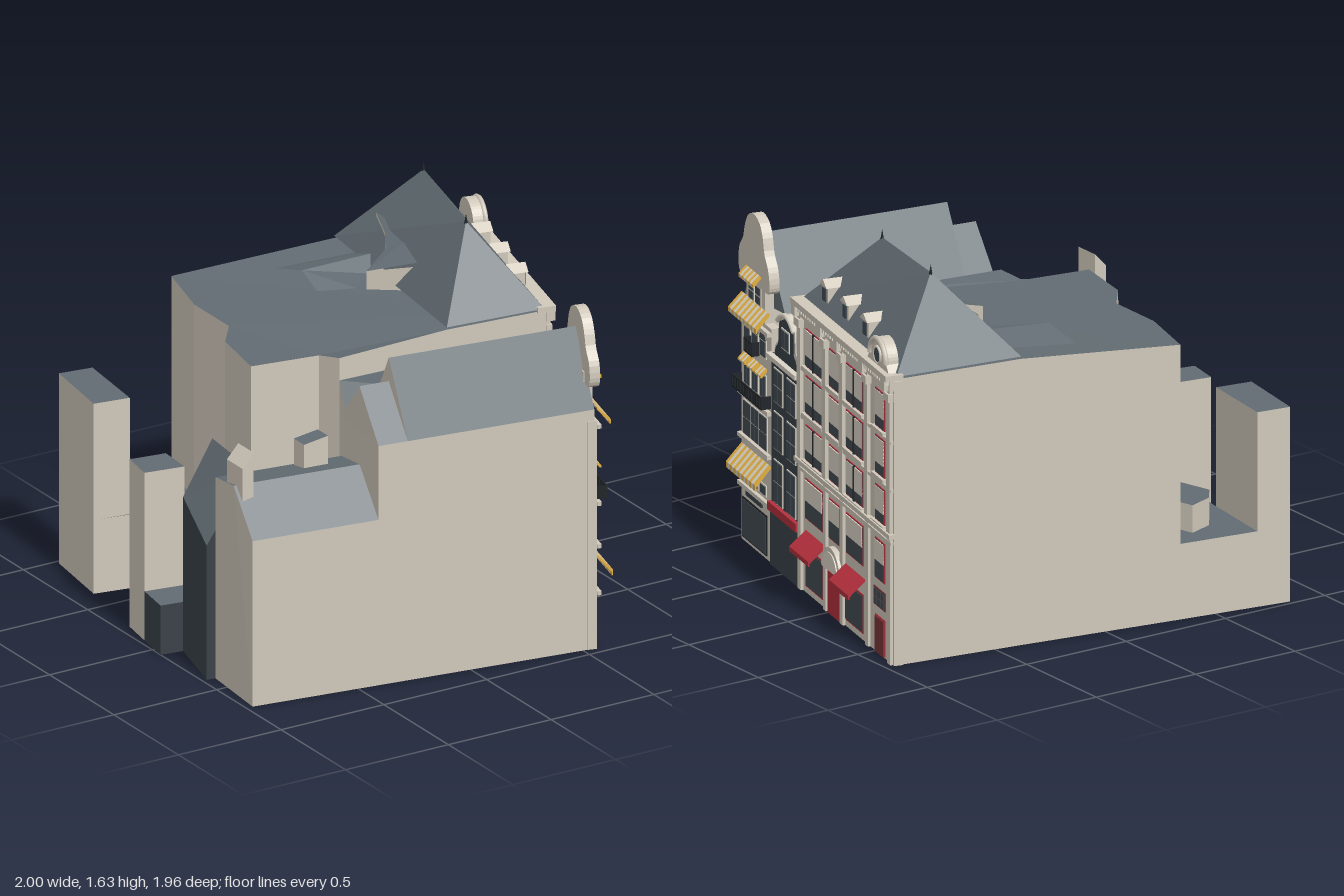
import * as THREE from 'three';

const mat = (name, color, side = THREE.FrontSide) => {
  const m = new THREE.MeshStandardMaterial({ color, side });
  m.name = name;
  return m;
};

export function createModel() {
  const D = THREE.DoubleSide;
  const cream = mat('cream stone', 0xd0c8ba, D), slate = mat('slate', 0x626c72, D);
  const dark = mat('charcoal brick', 0x3a4148, D), glass = mat('glass', 0x414b52);
  const red = mat('red', 0xb5303c), yellow = mat('yellow', 0xe3b042), white = mat('pale trim', 0xdad4c7);
  const doorRed = mat('dark red', 0x79363a), black = mat('black iron', 0x202428);

  const model = new THREE.Group();
  model.name = 'streetBlock';
  const facade = new THREE.Group();
  facade.name = 'streetFront';
  // the street front is turned; its local x runs along the street, z points outwards
  facade.position.set(0.791, 0, 0);
  facade.rotation.y = 1.3346;
  facade.scale.x = 1.029;
  model.add(facade);

  const add = (parent, name, geo, m) => {
    const mesh = new THREE.Mesh(geo, m);
    mesh.name = name;
    parent.add(mesh);
    return mesh;
  };
  // flat polygons given by 3D corners
  const faces = (name, m, polys) => {
    const v = [];
    for (const p of polys)
      for (let i = 1; i < p.length - 1; i++) v.push(...p[0], ...p[i], ...p[i + 1]);
    const g = new THREE.BufferGeometry();
    g.setAttribute('position', new THREE.Float32BufferAttribute(v, 3));
    g.computeVertexNormals();
    return add(model, name, g, m);
  };
  // upright wall from height y0 up to a line of 3D points
  const wallUnder = (name, top, y0, m = cream) =>
    faces(name, m, top.slice(1).map((b, i) => [[top[i][0], y0, top[i][2]], [b[0], y0, b[2]], b, top[i]]));
  // bottomless block from a plan outline [x, z], with one roof height or one per corner
  const block = (name, pts, h, { skip = [], wall = cream, roof = slate, y0 = 0 } = {}) => {
    const top = pts.map(([x, z], i) => [x, Array.isArray(h) ? h[i] : h, z]);
    top.forEach((a, i) => {
      if (!skip.includes(i)) wallUnder(name + 'Wall', [a, top[(i + 1) % top.length]], y0, wall);
    });
    const tris = THREE.ShapeUtils.triangulateShape(pts.map(([x, z]) => new THREE.Vector2(x, z)), []);
    // corners ordered so that the cap looks upwards
    faces(name + 'Roof', roof, tris.map(([a, b, c]) => [top[c], top[b], top[a]]));
  };

  // ---- large corner house and its rear wings
  block('mainHouse', [[0.94, -0.705], [0.38, -0.79], [-0.34, -0.905], [-0.42, -0.6], [-0.42, -0.33], [-0.52, -0.2],
    [-0.57, 0.08], [-0.27, 0.13], [-0.24, 0.24], [0.27, 0.26], [0.70, 0.32]],
    [1.25, 1.25, 1.2, 1.2, 1.2, 1.2, 1.2, 1.2, 1.22, 1.24, 1.25], { skip: [6, 7, 8, 9, 10] });
  wallUnder('mainCourtWall', [[-0.57, 1.2, 0.08], [-0.27, 1.2, 0.13], [-0.24, 1.22, 0.24]], 0.3);
  wallUnder('mainSouthWall', [[-0.24, 1.22, 0.24], [0.27, 1.24, 0.26], [0.70, 1.25, 0.32]], 1.08);
  const R1 = [0.64, 1.6, -0.51], R2 = [0.52, 1.58, 0.01], E1 = [0.95, 1.26, -0.705], E2 = [0.705, 1.26, 0.325];
  const W1 = [0.38, 1.26, -0.79], W2 = [0.27, 1.25, 0.26];
  faces('mainHipRoof', slate, [[E2, E1, R1, R2], [E1, W1, R1], [W1, W2, R2, R1], [W2, E2, R2]]);
  for (const r of [R1, R2]) {
    const f = add(model, 'ridgeFinial', new THREE.ConeGeometry(0.008, 0.045, 6), black);
    f.position.set(r[0], r[1] + 0.012, r[2]);
  }
  // low rear gable, set before a raised edge of the hip roof
  const d1 = [0.06, 1.27, -0.53], d2 = [0.4, 1.29, -0.49];
  faces('rearGableRoof', slate, [[[0.04, 1.22, -0.71], d1, d2, [0.47, 1.25, -0.61]], [d1, [0.06, 1.21, -0.39], [0.23, 1.22, -0.3], [0.37, 1.23, -0.4], d2]]);
  const edge = [[0.47, 1.41, -0.61], [0.42, 1.385, -0.46], [0.36, 1.36, -0.36], [0.23, 1.31, -0.3]];
  wallUnder('raisedRoofWall', [...edge, [0.41, 1.35, -0.14]], 1.21);
  faces('raisedRoof', slate, [[...edge, [0.41, 1.37, -0.14], [0.47, 1.41, -0.32]].reverse()]);

  block('court', [[-0.34, -0.905], [-0.84, -0.98], [-0.89, -0.63], [-0.73, -0.6], [-0.79, -0.23], [-0.52, -0.2], [-0.42, -0.33], [-0.42, -0.6]],
    0.33, { skip: [4, 5, 6, 7] });
  block('courtShed', [[-0.57, -0.78], [-0.46, -0.82], [-0.42, -0.68], [-0.57, -0.5], [-0.63, -0.7]], 0.45, { y0: 0.33 });
  block('rearTower', [[-0.69, -0.958], [-0.84, -0.98], [-0.89, -0.63], [-0.73, -0.605]], 0.85);
  block('rearAnnex', [[-0.79, -0.23], [-0.95, -0.255], [-0.975, -0.1], [-0.8, -0.07]], 0.75);
  block('lowAnnex', [[-0.975, -0.1], [-1, 0.064], [-0.9, 0.08], [-0.77, 0.1], [-0.55, 0.13], [-0.57, 0.08], [-0.8, -0.07]], 0.22, { wall: dark, skip: [3, 4, 5] });
  block('middleAnnex', [[-0.79, -0.23], [-0.8, -0.07], [-0.57, 0.08], [-0.52, -0.2]], 0.45, { skip: [2, 3] });

  // ---- dark rear house with a steep roof towards the inner court
  block('rearHouseWest', [[-0.9, 0.08], [-0.77, 0.1], [-0.79, 0.42], [-0.98, 0.39]], [0.69, 0.93, 0.91, 0.6], { wall: dark, skip: [1] });
  block('rearHouseEast', [[-0.77, 0.1], [-0.27, 0.13], [-0.24, 0.25], [-0.3, 0.51], [-0.79, 0.44]], [0.93, 0.4, 0.4, 0.4, 0.91], { wall: dark, skip: [1, 2, 3, 4] });

  // ---- long gabled house on the south side, in three steps
  const zs = x => 0.96 + 0.15 * (x - 0.56);
  const gableRun = (name, x0, x1, eave, ridge, back) => {
    const sec = x => [[x, 0, zs(x)], [x, eave, zs(x)], [x + 0.008, ridge, zs(x) - 0.16], [x + 0.03, back, zs(x) - 0.335], [x + 0.03, 0.4, zs(x) - 0.335]];
    const a = sec(x0), b = sec(x1), strip = i => [a[i], b[i], b[i + 1], a[i + 1]];
    faces(name + 'Walls', cream, [strip(0), strip(3)]);
    faces(name + 'Roof', slate, [strip(1), strip(2)]);
    return [a, b];
  };
  const [f0, f1] = gableRun('southHouseFront', -0.28, 0.55, 1.07, 1.385, 1.08);
  const [m0] = gableRun('southHouseMiddle', -0.41, -0.28, 1.07, 1.28, 1.08);
  const [r0] = gableRun('southHouseRear', -0.97, -0.41, 0.74, 0.93, 0.9);
  faces('southHouseStreetGable', slate, [f1.slice(1, 4)]);
  faces('southHouseRearGables', cream, [f0.slice(1, 4), m0.slice(1, 4),
    [[-0.41, 0.74, zs(-0.41)], m0[1], m0[3], [m0[3][0], 0.74, m0[3][2]]], [...r0.slice(0, 4), [r0[4][0], 0, r0[4][2]]]]);
  block('rearChimney', [[-0.95, 0.5], [-0.95, 0.62], [-0.895, 0.62], [-0.895, 0.5]], [1.02, 1.02, 1.08, 1.08], { y0: 0.86, roof: cream });
  block('innerChimney', [[-0.6, 0.46], [-0.6, 0.54], [-0.49, 0.55], [-0.49, 0.47]], [1.02, 1.02, 1.04, 1.04], { y0: 0.86, roof: slate });

  // ---- narrow dark house between them
  const n1 = [-0.3, 0.8, 0.5], n2 = [0.62, 0.8, 0.64], n3 = [0.6, 1.12, 0.47], n4 = [-0.12, 1.12, 0.36], n5 = [-0.24, 1.12, 0.24];
  faces('narrowHouseRoof', slate, [[n1, n2, n3, n4], [n1, n4, n5], [n4, n3, [0.69, 1.12, 0.33], [0.27, 1.12, 0.25], n5]]);
  wallUnder('narrowHouseRearWall', [n1, n5], 0.38);

  // ---- street front helpers
  const box = (name, m, u0, u1, y0, y1, z0, z1) =>
    add(facade, name, new THREE.BoxGeometry(u1 - u0, y1 - y0, z1 - z0), m).position.set((u0 + u1) / 2, (y0 + y1) / 2, (z0 + z1) / 2);
  const outline = (name, m, pts, z, depth, curved) => {
    const v = pts.map(p => new THREE.Vector2(...p));
    const s = new THREE.Shape(curved ? new THREE.SplineCurve(v).getPoints(40) : v);
    const g = new THREE.ExtrudeGeometry(s, { depth, bevelEnabled: false });
    return add(facade, name, g.translate(0, 0, z), m);
  };
  // framed pane with optional bars and a blind covering its upper part
  const pane = (name, u0, u1, y0, y1, frame, { cols = 1, rows = 1, blind = 0, t = 0.007 } = {}) => {
    box(name + 'Frame', frame, u0, u1, y0, y1, 0, 0.004);
    const w = (u1 - u0 - t) / cols, h = (y1 - y0 - t) / rows;
    for (let i = 0; i < cols; i++) for (let j = 0; j < rows; j++)
      box(name + 'Glass', glass, u0 + t + i * w, u0 + (i + 1) * w, y0 + t + j * h, y0 + (j + 1) * h, 0, 0.007);
    if (blind) box(name + 'Blind', white, u0 + t, u1 - t, y1 - t - blind * (y1 - y0), y1 - t, 0, 0.009);
  };
  const awning = (name, u0, u1, y0, y1, depth, mats, n) => {
    const w = (u1 - u0) / n, drop = (y1 - y0) * 0.25;
    for (let i = 0; i < n; i++) {
      const s = new THREE.Shape([[0, y1], [0, y1 - 0.01], [depth - 0.006, y0 + drop - 0.01], [depth - 0.006, y0], [depth, y0], [depth, y0 + drop]]
        .map(p => new THREE.Vector2(...p)));
      const g = new THREE.ExtrudeGeometry(s, { depth: w, bevelEnabled: false }).rotateY(-Math.PI / 2);
      add(facade, name, g.translate(u0 + (i + 1) * w, 0, 0), mats[i % mats.length]);
    }
  };
  const balcony = (u0, u1, y0, y1, depth) => {
    box('balconyFloor', black, u0, u1, y0, y0 + 0.008, 0, depth);
    box('balconyRail', black, u0, u1, y1 - 0.006, y1, depth - 0.006, depth);
    const n = Math.round((u1 - u0) / 0.018);
    for (let i = 0; i <= n; i++) {
      const u = u0 + (u1 - u0 - 0.007) * i / n;
      box('baluster', black, u, u + 0.007, y0, y1, depth - 0.006, depth);
    }
    for (const u of [u0, u1 - 0.006]) box('balconySideRail', black, u, u + 0.006, y0, y1, 0, depth);
  };

  // ---- cream gabled front
  box('gabledFrontWall', cream, -0.965, -0.64, 0, 1.02, -0.04, 0);
  box('gabledFrontNeck', cream, -0.91, -0.71, 1.02, 1.22, -0.04, 0);
  outline('bellGable', cream, [[-0.91, 1.17], [-0.955, 1.17], [-0.975, 1.21], [-0.965, 1.28], [-0.925, 1.33], [-0.905, 1.39], [-0.87, 1.445], [-0.81, 1.47],
    [-0.745, 1.45], [-0.71, 1.4], [-0.69, 1.33], [-0.65, 1.275], [-0.635, 1.21], [-0.65, 1.17], [-0.71, 1.17]], -0.035, 0.045, true);
  const stripes = [yellow, white];
  awning('topAwning', -0.89, -0.73, 1.175, 1.23, 0.045, stripes, 9);
  awning('upperAwning', -0.965, -0.66, 1.0, 1.08, 0.06, stripes, 15);
  awning('shopAwning', -0.965, -0.645, 0.32, 0.42, 0.07, stripes, 15);
  for (const u of [-0.88, -0.805]) pane('atticWindow', u, u + 0.06, 1.08, 1.165, white, { rows: 2 });
  for (const u of [-0.93, -0.842, -0.755]) {
    pane('archedWindow', u, u + 0.068, 0.87, 0.95, white);
    const arch = add(facade, 'windowArch', new THREE.CircleGeometry(0.034, 16, 0, Math.PI), glass);
    arch.position.set(u + 0.034, 0.949, 0.007);
    pane('secondFloorWindow', u, u + 0.068, 0.69, 0.8, white, { cols: 2 });
    awning('smallAwning', u - 0.003, u + 0.071, 0.795, 0.83, 0.03, stripes, 5);
    pane('firstFloorWindow', u - 0.004, u + 0.078, 0.47, 0.62, white, { cols: 2, rows: 2, t: 0.004 });
    pane('mezzanineWindow', u, u + 0.07, 0.27, 0.32, white);
  }
  balcony(-0.86, -0.77, 0.86, 0.92, 0.035);
  balcony(-0.965, -0.645, 0.67, 0.725, 0.045);
  for (const y of [0.45, 0.64, 0.985, 0.24]) box('gabledFrontCornice', cream, -0.97, -0.64, y, y + 0.018, 0, 0.018);
  box('signBoard', dark, -0.9, -0.73, 0.21, 0.232, 0, 0.008);
  pane('shopWindow', -0.95, -0.68, 0.015, 0.19, black);

  // ---- dark front
  box('narrowFrontWall', dark, -0.64, -0.325, 0, 0.92, -0.04, 0);
  const neck = [[-0.62, 0.91], [-0.61, 0.96], [-0.575, 1.0], [-0.565, 1.09], [-0.53, 1.115], [-0.48, 1.135], [-0.43, 1.115], [-0.395, 1.09], [-0.385, 1.0], [-0.35, 0.96], [-0.335, 0.91]];
  outline('neckGableTrim', white, neck, -0.04, 0.035, true);
  outline('neckGable', dark, neck.map(([u, y]) => [-0.478 + (u + 0.478) * 0.88, 0.91 + (y - 0.91) * 0.92]), -0.03, 0.03, true);
  const rim = new THREE.CatmullRomCurve3([[-0.57, 1.085], [-0.53, 1.115], [-0.48, 1.13], [-0.43, 1.115], [-0.39, 1.085]].map(p => new THREE.Vector3(...p, 0)));
  add(facade, 'gableCrown', new THREE.TubeGeometry(rim, 16, 0.012, 6), white);
  box('narrowFrontSill', white, -0.64, -0.325, 0.905, 0.925, 0, 0.025);
  pane('neckWindow', -0.525, -0.435, 0.98, 1.07, white, { cols: 2 });
  for (const [y0, y1] of [[0.72, 0.87], [0.515, 0.68], [0.28, 0.47]])
    for (const u of [-0.605, -0.465]) pane('sashWindow', u, u + 0.1, y0, y1, white, { cols: 2, rows: 2, t: 0.005 });
  box('redFascia', red, -0.64, -0.33, 0.238, 0.275, 0, 0.018);
  box('narrowShopfront', dark, -0.63, -0.335, 0, 0.238, 0, 0.009);

  // ---- large front
  box('largeFrontWall', cream, -0.325, 0.705, 0, 1.24, -0.04, 0);
  box('largeCornice', cream, -0.335, 0.71, 1.245, 1.27, -0.04, 0.04);
  box('largeFrieze', cream, -0.33, 0.705, 1.2, 1.245, 0, 0.02);
  for (let i = 0; i < 42; i++) box('dentil', white, -0.32 + i * 0.0245, -0.308 + i * 0.0245, 1.225, 1.245, 0.02, 0.034);
  box('stringCourse', cream, -0.335, 0.71, 0.555, 0.575, 0, 0.025);
  for (const y of [0.525, 0.755, 0.965]) box('sillCourse', cream, -0.32, 0.7, y, y + 0.014, 0, 0.014);
  for (const u of [-0.305, -0.03, 0.155, 0.43, 0.675]) {
    box('pilaster', cream, u - 0.018, u + 0.018, 0.56, 1.2, 0, 0.016);
    box('capital', cream, u - 0.025, u + 0.025, 1.15, 1.185, 0, 0.026);
    box('bracket', cream, u - 0.02, u + 0.02, 1.2, 1.25, 0, 0.04);
    box('lowerPilaster', cream, u - 0.016, u + 0.016, 0, 0.55, 0, 0.012);
  }
  const columns = [[-0.26, -0.062, 2], [0, 0.127, 1], [0.187, 0.375, 2], [0.503, 0.612, 1]];
  for (const [u0, u1, n] of columns) {
    for (const [y0, y1] of [[0.99, 1.155], [0.785, 0.95], [0.58, 0.735]]) {
      const w = (u1 - u0) / n;
      for (let i = 0; i < n; i++) pane('upperWindow', u0 + i * w + 0.003, u0 + (i + 1) * w - 0.003, y0, y1, red, { blind: 0.66, t: 0.005 });
      if (n > 1) box('windowPost', black, (u0 + u1) / 2 - 0.004, (u0 + u1) / 2 + 0.004, y0, y1, 0, 0.012);
      box('windowSill', cream, u0 - 0.01, u1 + 0.01, y0 - 0.015, y0, 0, 0.018);
    }
    pane('firstFloorWideWindow', u0, u1, 0.325, 0.5, red, { blind: 0.5, t: 0.006 });
  }
  for (const u of [-0.255, 0.18]) {
    pane('largeShopWindow', u, u + 0.195, 0.03, 0.2, red);
    awning('redAwning', u - 0.005, u + 0.205, 0.19, 0.272, 0.075, [red], 1);
  }
  box('mainDoor', red, 0, 0.13, 0, 0.2, 0, 0.009);
  const arc = (u, y, r) => Array.from({ length: 21 }, (_, i) => [u + r * Math.cos(i * Math.PI / 20), y + r * Math.sin(i * Math.PI / 20)]);
  outline('doorArch', cream, arc(0.065, 0.205, 0.1), 0, 0.025);
  outline('doorArchPanel', white, arc(0.065, 0.205, 0.08), 0.025, 0.005);
  pane('sideWindow', 0.49, 0.615, 0.205, 0.285, doorRed, { cols: 3, rows: 2 });
  box('sideDoorSurround', red, 0.505, 0.608, 0.005, 0.165, 0, 0.004);
  box('sideDoor', doorRed, 0.51, 0.603, 0.005, 0.16, 0, 0.009);

  // round pediment with oculus
  outline('roundPediment', cream, [...arc(0.565, 1.3, 0.09), [0.45, 1.27], [0.68, 1.27]], -0.04, 0.055);
  add(facade, 'pedimentRim', new THREE.TorusGeometry(0.085, 0.012, 6, 20, Math.PI), cream).position.set(0.565, 1.3, 0.015);
  add(facade, 'oculusGlass', new THREE.CircleGeometry(0.032, 20), glass).position.set(0.565, 1.315, 0.02);
  add(facade, 'oculusRing', new THREE.TorusGeometry(0.035, 0.007, 6, 20), white).position.set(0.565, 1.315, 0.016);
  // roof dormers
  for (const u of [-0.15, 0.073, 0.293]) {
    box('dormer', cream, u - 0.033, u + 0.033, 1.29, 1.37, -0.12, -0.04);
    box('dormerGlass', glass, u - 0.018, u + 0.018, 1.305, 1.36, -0.04, -0.034);
    outline('dormerGable', cream, [[u - 0.04, 1.37], [u + 0.04, 1.37], [u, 1.4]], -0.13, 0.1);
  }
  return model;
}
